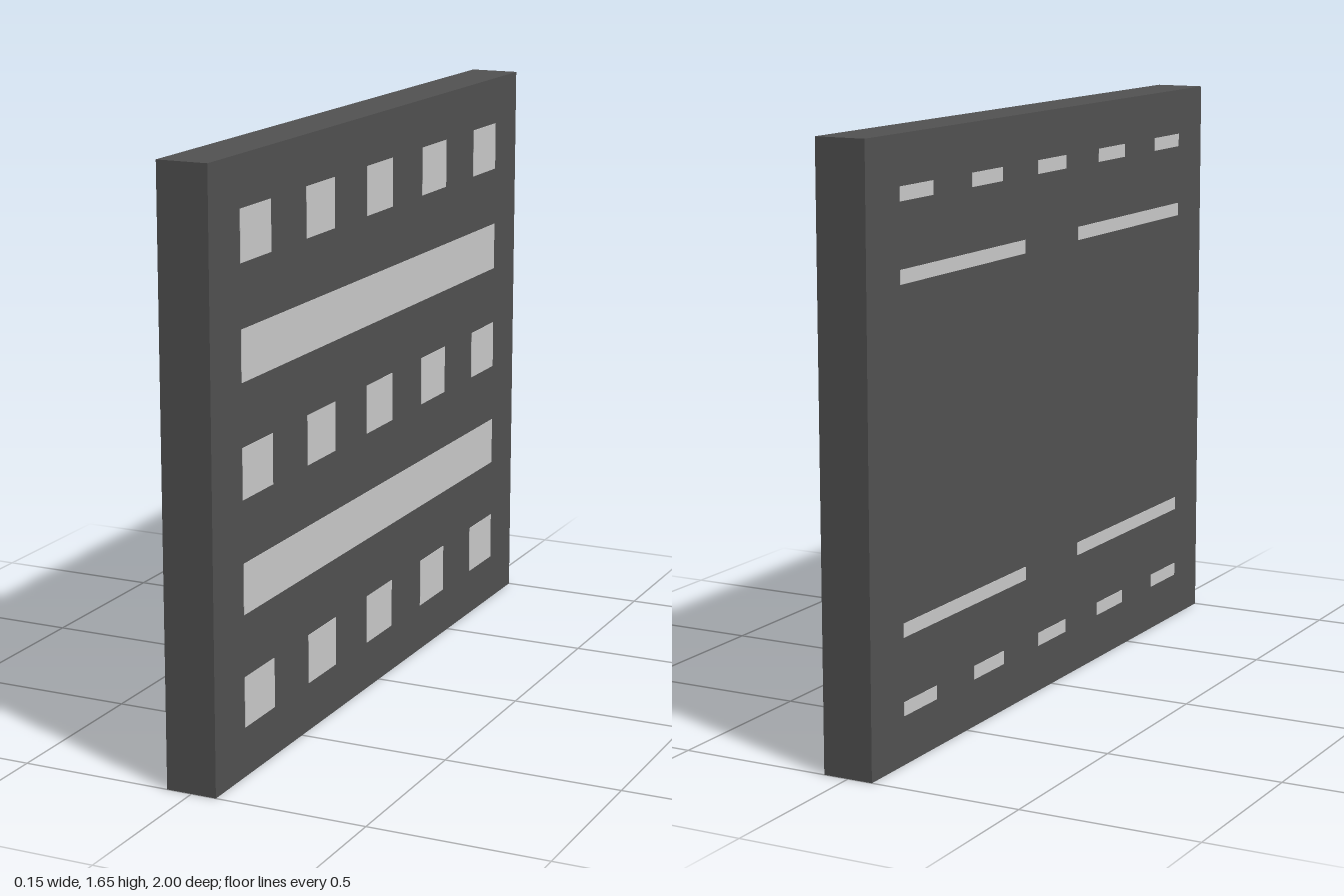
import * as THREE from 'three';

const H = 1.655, HALF = 0.072, PROUD = 0.0015;
const dark = new THREE.MeshStandardMaterial({ color: 0x525252 });
const light = new THREE.MeshStandardMaterial({ color: 0xcccccc });

export function createModel() {
  const model = new THREE.Group();

  // Dark upright slab
  const slab = new THREE.Mesh(new THREE.BoxGeometry(HALF * 2, H, 2), dark);
  slab.name = 'slab';
  slab.position.y = H / 2;
  model.add(slab);

  // Thin light inlay lying in a side face (side = +1 or -1 along x)
  const inlay = (name, side, y, z, height, length) => {
    const mesh = new THREE.Mesh(new THREE.BoxGeometry(0.01, height, length), light);
    mesh.name = name;
    mesh.position.set(side * (HALF + PROUD - 0.005), y, z);
    model.add(mesh);
  };

  const columns = [-0.75, -0.375, 0, 0.375, 0.75];

  // Left face: three rows of square panels with two long bars between them
  for (const row of [-2, 0, 2]) {
    for (const z of columns) inlay('squarePanel', 1, H / 2 + row * 0.31, z, 0.139, 0.17);
  }
  for (const row of [-1, 1]) inlay('longBar', 1, H / 2 + row * 0.31, 0, 0.139, 1.67);

  // Right face: narrow dashes and split strips, mirrored top to bottom
  for (const s of [-1, 1]) {
    for (const z of columns) inlay('dash', -1, H / 2 + s * 0.675, z, 0.038, 0.17);
    for (const e of [-1, 1]) inlay('halfStrip', -1, H / 2 + s * 0.463, e * 0.498, 0.038, 0.674);
  }
  return model;
}
